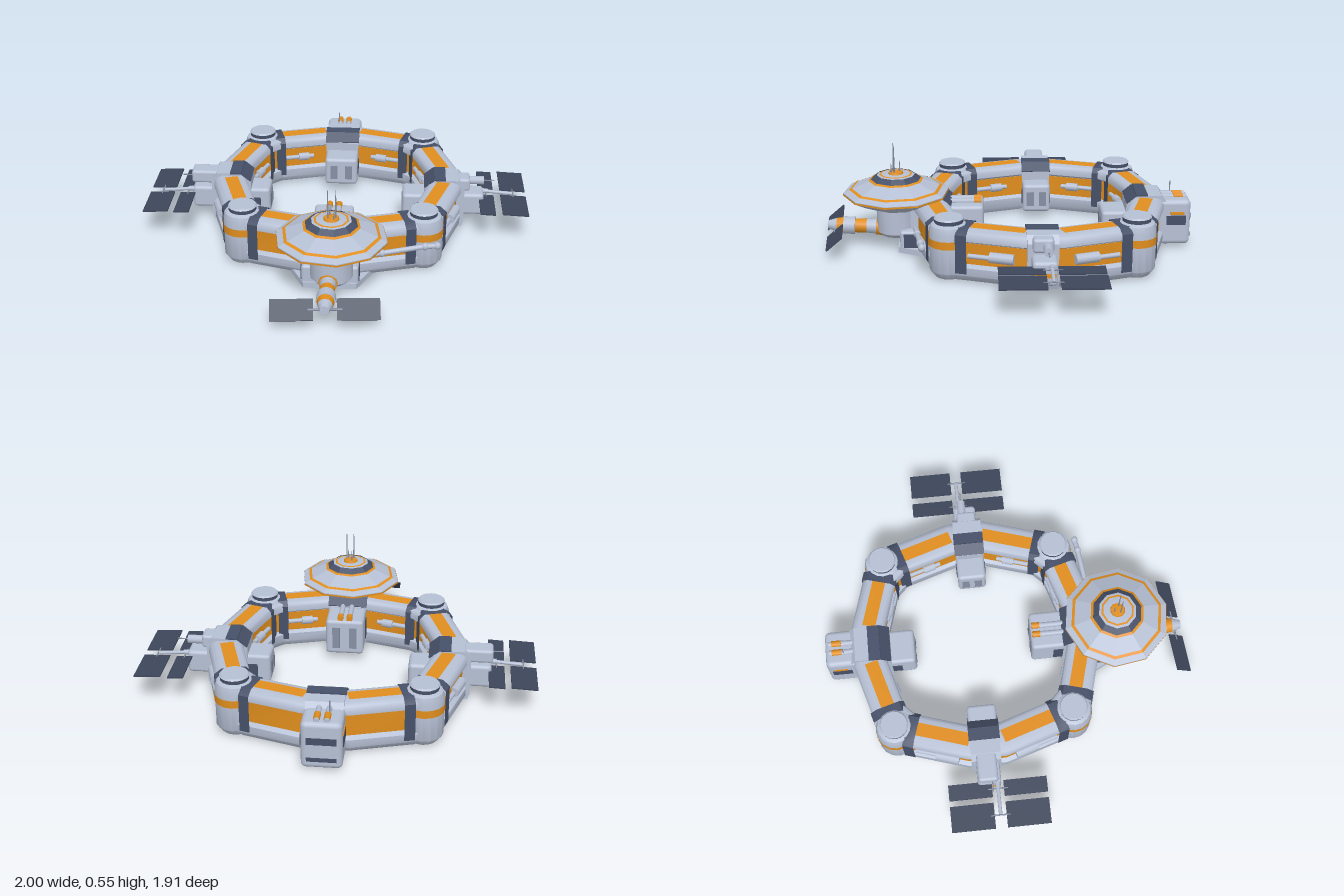
import * as THREE from 'three';
import { toCreasedNormals } from 'three/addons/utils/BufferGeometryUtils.js';
import { RoundedBoxGeometry } from 'three/addons/geometries/RoundedBoxGeometry.js';

const paint = (name, color, side = THREE.FrontSide) => {
  const m = new THREE.MeshStandardMaterial({ color, side });
  m.name = name;
  return m;
};

export function createModel() {
  const hull = paint('hull grey', 0xb6c0d4);
  const orange = paint('orange panel', 0xe08e1e, THREE.DoubleSide);
  const navy = paint('navy panel', 0x465068, THREE.DoubleSide);
  const solar = paint('solar cell', 0x3d465a);
  const metal = paint('dark metal', 0x868fa3);
  const station = new THREE.Group();
  station.name = 'spaceStation';

  // Helpers
  const add = (parent, name, geo, mat, x = 0, y = 0, z = 0) => {
    const m = new THREE.Mesh(geo, mat);
    m.name = name;
    m.position.set(x, y, z);
    parent.add(m);
    return m;
  };
  // Box given by its limits; r rounds the edges
  const block = (parent, name, mat, [x0, x1], [y0, y1], [z0, z1], r = 0) => {
    const s = [x1 - x0, y1 - y0, z1 - z0];
    const geo = r ? new RoundedBoxGeometry(...s, 2, r) : new THREE.BoxGeometry(...s);
    return add(parent, name, geo, mat, (x0 + x1) / 2, (y0 + y1) / 2, (z0 + z1) / 2);
  };
  const rod = (parent, name, mat, a, b, r, r2 = r, sides = 10) => {
    const p = new THREE.Vector3(...a), q = new THREE.Vector3(...b), d = q.clone().sub(p);
    const m = add(parent, name, new THREE.CylinderGeometry(r2, r, d.length(), sides), mat);
    m.position.copy(p).add(q).multiplyScalar(0.5);
    m.quaternion.setFromUnitVectors(new THREE.Vector3(0, 1, 0), d.normalize());
    return m;
  };
  const lathe = (parent, name, mat, pts, sides, crease = 0.7) => add(parent, name, toCreasedNormals(
    new THREE.LatheGeometry(pts.map(p => new THREE.Vector2(...p)), sides).toNonIndexed(), crease), mat);

  // Sweep a (outward, height) section along a mitred path on the ground plane
  const sweep = (parent, name, mat, section, path, closedPath, closedSection) => {
    const n = path.length, m = section.length, pos = [];
    const normal = (a, b) => new THREE.Vector2(b[1] - a[1], a[0] - b[0]).normalize();
    const rows = path.map((p, i) => {
      const prev = closedPath || i > 0 ? path[(i + n - 1) % n] : null;
      const next = closedPath || i < n - 1 ? path[(i + 1) % n] : null;
      const n0 = normal(prev || p, prev ? p : next), n1 = normal(next ? p : prev, next || p);
      const out = n0.clone().add(n1);
      out.multiplyScalar(2 / out.lengthSq());
      return section.map(([r, y]) => [p[0] + out.x * r, y, p[1] + out.y * r]);
    });
    for (let i = 0; i < (closedPath ? n : n - 1); i++)
      for (let j = 0; j < (closedSection ? m : m - 1); j++) {
        const k = (i + 1) % n, l = (j + 1) % m;
        const a = rows[i][j], b = rows[i][l], c = rows[k][l], d = rows[k][j];
        pos.push(...a, ...c, ...b, ...a, ...d, ...c);
      }
    const geo = new THREE.BufferGeometry();
    geo.setAttribute('position', new THREE.Float32BufferAttribute(pos, 3));
    return add(parent, name, toCreasedNormals(geo, 0.75), mat);
  };

  // Ring path: a quarter mirrored to all four sides
  const cz = -0.165;
  const quarter = [[0.1, -0.55], [0.38, -0.47], [0.465, -0.385], [0.56, -0.085]];
  const half = [...quarter, ...quarter.map(([x, z]) => [x, -z]).reverse()];
  const path = [...half, ...half.map(([x, z]) => [-x, z]).reverse()].map(([x, z]) => [x, z + cz]);
  const section = [[-0.055, 0.275], [0.055, 0.275], [0.078, 0.265], [0.09, 0.245], [0.09, 0.225], [0.066, 0.212],
    [0.066, 0.105], [0.09, 0.09], [0.09, 0.05], [0.06, 0.015], [-0.06, 0.015], [-0.08, 0.045],
    [-0.08, 0.09], [-0.06, 0.105], [-0.06, 0.212], [-0.08, 0.225], [-0.08, 0.25], [-0.073, 0.266]];
  const ring = new THREE.Group();
  ring.name = 'ring';
  station.add(ring);
  sweep(ring, 'ringHull', hull, section, path, true, true);
  sweep(ring, 'outerWall', orange, [[0.069, 0.212], [0.069, 0.105]], path, true);
  sweep(ring, 'innerWall', orange, [[-0.063, 0.105], [-0.063, 0.212]], path, true);

  // Arm details: stripes, navy straps and pipes on each straight
  const wrap = [[-0.085, 0.06], [-0.085, 0.255], [-0.06, 0.281], [0.06, 0.281], [0.095, 0.255], [0.095, 0.06]];
  for (let i = 0; i < 16; i += 2) {
    const a = path[i], b = path[i + 1];
    const at = t => [a[0] + (b[0] - a[0]) * t, a[1] + (b[1] - a[1]) * t];
    const cornerAtEnd = i % 4 === 0;
    const seg = (t0, t1) => cornerAtEnd ? [at(t0), at(t1)] : [at(1 - t1), at(1 - t0)];
    sweep(ring, 'topStripe', orange, [[-0.034, 0.279], [0.034, 0.279]], seg(0, 0.93), false);
    sweep(ring, 'underStripe', orange, [[0.03, 0.011], [-0.02, 0.011]], seg(0.25, 0.75), false);
    sweep(ring, 'strap', navy, wrap, seg(0.86, 1.04), false);
    const d = new THREE.Vector2(b[0] - a[0], b[1] - a[1]).normalize();
    const pipe = (name, r, y, t0, t1, rad) => {
      const [p, q] = seg(t0, t1).map(([x, z]) => [x + d.y * r, y, z - d.x * r]);
      rod(ring, name, hull, p, q, rad);
    };
    const isSideArm = Math.abs(a[0] + b[0]) > 0.85;
    if (isSideArm) {
      pipe('outerPipe', 0.078, 0.15, 0.2, 0.85, 0.012);
      pipe('outerTank', 0.08, 0.155, 0.12, 0.5, 0.026);
    }
    pipe('innerPipe', -0.07, 0.16, 0.3, 0.85, 0.012);
    pipe('innerTank', -0.07, 0.16, 0.4, 0.6, 0.022);
  }

  // Corner towers
  for (const sx of [1, -1]) for (const sz of [1, -1]) {
    const t = new THREE.Group();
    t.name = 'cornerTower';
    t.position.set(sx * 0.452, 0, cz + sz * 0.455);
    station.add(t);
    lathe(t, 'towerBody', hull, [[0, 0.015], [0.07, 0.015], [0.097, 0.05], [0.097, 0.25],
      [0.088, 0.278], [0.07, 0.288], [0, 0.288]], 16);
    add(t, 'towerBand', new THREE.CylinderGeometry(0.1, 0.1, 0.04, 16, 1, true), orange, 0, 0.197, 0);
    add(t, 'towerCollar', new THREE.CylinderGeometry(0.07, 0.07, 0.024, 16), navy, 0, 0.297, 0);
    add(t, 'towerCap', new THREE.CylinderGeometry(0.066, 0.073, 0.008, 16), hull, 0, 0.312, 0);
  }

  // Hubs on the four sides; local +z points away from the ring
  const hub = (name, x, z, turn, w, podEnd, podTop) => {
    const g = new THREE.Group();
    g.name = name;
    g.position.set(x, 0, z);
    g.rotation.y = turn;
    station.add(g);
    const s = new THREE.Shape([[-0.1, 0.02], [0.1, 0.02], [0.11, 0.05], [0.11, 0.25], [0.08, 0.287],
      [-0.05, 0.287], [-0.1, 0.245]].map(p => new THREE.Vector2(...p)));
    const geo = new THREE.ExtrudeGeometry(s, { depth: w * 2, bevelEnabled: false });
    geo.rotateY(-Math.PI / 2).translate(w, 0, 0);
    add(g, 'saddle', geo, hull);
    block(g, 'saddlePanel', navy, [-w - 0.004, w + 0.004], [0.286, 0.293], [-0.05, 0.01]);
    const slope = block(g, 'slopePanel', navy, [-w - 0.004, w + 0.004], [0.265, 0.272], [-0.107, -0.043]);
    slope.rotation.x = -0.7;
    block(g, 'innerPod', hull, [-w, w], [0.045, podTop], [podEnd, -0.06], 0.018);
    for (const sx of [1, -1]) {
      block(g, 'podSidePanel', navy, [sx * w - 0.004, sx * w + 0.004], [0.08, podTop - 0.05], [-0.15, -0.1]);
      block(g, 'podDoor', metal, [sx * w * 0.45 - 0.02, sx * w * 0.45 + 0.02], [0.08, podTop - 0.04],
        [podEnd - 0.003, podEnd + 0.004]);
    }
    return g;
  };
  const back = hub('backHub', 0, -0.715, Math.PI, 0.09, -0.225, 0.2);
  const front = hub('frontHub', 0, 0.385, 0, 0.1, -0.265, 0.24);
  const left = hub('leftHub', 0.56, -0.155, Math.PI / 2, 0.075, -0.215, 0.2);
  const right = hub('rightHub', -0.56, -0.175, -Math.PI / 2, 0.075, -0.2, 0.2);

  // Twin thrusters on the front pod and back module
  for (const x of [-0.024, 0.024]) {
    rod(front, 'podRail', hull, [x, 0.245, -0.24], [x, 0.245, -0.06], 0.014);
    rod(front, 'podRailTip', orange, [x, 0.247, -0.255], [x, 0.247, -0.215], 0.016);
    rod(back, 'thruster', hull, [x, 0.262, 0.08], [x, 0.262, 0.215], 0.014);
    rod(back, 'thrusterSleeve', orange, [x, 0.264, 0.15], [x, 0.264, 0.2], 0.016);
  }

  // Back docking module
  block(back, 'backModule', hull, [-0.097, 0.097], [0.02, 0.262], [0.06, 0.235], 0.025);
  block(back, 'upperWindow', navy, [-0.07, 0.07], [0.15, 0.185], [0.231, 0.238]);
  block(back, 'lowerWindow', navy, [-0.07, 0.07], [0.06, 0.08], [0.231, 0.238]);
  for (const s of [1, -1]) {
    block(back, 'moduleSideWindow', navy, [s * 0.097 - 0.004, s * 0.097 + 0.004], [0.13, 0.18], [0.11, 0.21]);
    block(back, 'moduleSideBadge', orange, [s * 0.097 - 0.004, s * 0.097 + 0.004], [0.185, 0.2], [0.13, 0.2]);
  }
  rod(back, 'backAntenna', metal, [0.03, 0.25, 0.14], [0.03, 0.33, 0.14], 0.003);

  // Side modules with solar wings
  const wing = (g, s, offset, far, near) => {
    block(g, 'lowerModule', hull, [-0.055, 0.065], [0.08, 0.2], [0.06, 0.215], 0.018);
    block(g, 'upperModule', hull, [-0.05, 0.05], [0.215, 0.285], [0.03, s < 0 ? 0.22 : 0.14], 0.015);
    rod(g, 'barrel', hull, [0.02, 0.25, 0.1], [0.02, 0.25, 0.215], 0.022);
    rod(g, 'moduleAntenna', metal, [0.02, 0.25, 0.2], [0.02, 0.25, 0.27], 0.003);
    block(g, 'moduleStripe', orange, [-0.045, 0.055], [0.125, 0.145], [0.212, 0.218]);
    const b = new THREE.Group();
    b.name = 'solarWing';
    b.position.set(0, 0.168, s < 0 ? -0.13 : -0.19);
    station.add(b);
    rod(b, 'boom', hull, [s * 0.68, 0.015, 0], [s * 0.8, 0.012, 0], 0.018, 0.012);
    rod(b, 'boomTip', hull, [s * 0.78, 0.012, 0], [s * 0.93, 0, 0], 0.009);
    for (const [x0, x1] of [far, near]) for (const sz of [1, -1]) {
      const p = add(b, 'solarPanel', new THREE.BoxGeometry(x1 - x0, 0.007, 0.22), solar,
        s * (x0 + x1) / 2, 0, sz * 0.14 + offset);
      p.rotation.z = s * -0.05;
      rod(b, 'panelStrut', metal, [s * (x0 + x1) / 2, 0.004, 0], [s * (x0 + x1) / 2, 0, sz * 0.05], 0.004);
    }
  };
  wing(left, 1, 0, [0.865, 1], [0.75, 0.83]);
  wing(right, -1, 0, [0.87, 1], [0.76, 0.84]);

  // Front base that carries the dish
  const plan = new THREE.Shape([[-0.24, -0.34], [0.24, -0.34], [0.13, -0.56], [-0.13, -0.56]]
    .map(p => new THREE.Vector2(...p)));
  const keel = new THREE.ExtrudeGeometry(plan, { depth: 0.03, bevelEnabled: false }).rotateX(-Math.PI / 2);
  add(station, 'keelPlate', keel, hull, 0, 0.004, 0);
  block(station, 'frontBase', hull, [-0.14, 0.14], [0.01, 0.12], [0.36, 0.55], 0.015);
  for (const s of [1, -1])
    block(station, 'basePanel', navy, [s * 0.14 - 0.004, s * 0.14 + 0.004], [0.025, 0.105], [0.42, 0.53]);

  // Dish
  const dish = new THREE.Group();
  dish.name = 'dish';
  dish.position.set(0.01, 0, 0.57);
  dish.rotation.y = 0.15;
  station.add(dish);
  lathe(dish, 'neck', hull, [[0, 0.07], [0.085, 0.07], [0.105, 0.09], [0.105, 0.23]], 14);
  lathe(dish, 'dishBody', hull, [[0.09, 0.215], [0.13, 0.222], [0.2, 0.252], [0.272, 0.29], [0.272, 0.302],
    [0.13, 0.363], [0.1, 0.386], [0.085, 0.39], [0.045, 0.394], [0, 0.396]], 10, 0.2);
  const bands = [['rimBand', orange, [0.274, 0.29], [0.274, 0.299]], ['dishStripe', orange, [0.242, 0.318], [0.227, 0.3245]],
    ['shoulderStripe', orange, [0.142, 0.361], [0.129, 0.3675]], ['windowBand', navy, [0.129, 0.3675], [0.099, 0.39]],
    ['crownStripe', orange, [0.086, 0.3925], [0.076, 0.394]]];
  for (const [name, mat, a, b] of bands) lathe(dish, name, mat, [a, b], 10, 0.2);
  lathe(dish, 'crown', orange, [[0.04, 0.393], [0.036, 0.404], [0, 0.408]], 10);
  for (const [x, z, h] of [[-0.018, 0.01, 0.55], [0.02, 0.01, 0.55], [-0.005, -0.02, 0.46], [0.01, 0.025, 0.45]])
    rod(dish, 'mast', metal, [x, 0.4, z], [x, h, z], 0.0045, 0.002, 6);

  // Docking tube under the dish: [z start, z end, radius start, radius end, colour]
  for (const [a, b, r0, r1, mat] of [[0.54, 0.68, 0.048, 0.045, orange], [0.68, 0.73, 0.04, 0.036, hull],
    [0.73, 0.79, 0.037, 0.037, orange], [0.79, 0.85, 0.046, 0.046, hull], [0.85, 0.885, 0.042, 0.036, orange],
    [0.885, 0.93, 0.036, 0.022, hull]])
    rod(station, 'dockingTube', mat, [0, 0.095 + (a - 0.54) * 0.05, a], [0, 0.095 + (b - 0.54) * 0.05, b], r0, r1, 12);
  const frontWing = new THREE.Group();
  frontWing.name = 'frontSolarWing';
  frontWing.position.set(0, 0.097, 0.895);
  frontWing.rotation.y = 0.08;
  station.add(frontWing);
  rod(frontWing, 'wingAxle', metal, [-0.08, 0, 0], [0.08, 0, 0], 0.006);
  for (const s of [1, -1])
    add(frontWing, 'frontSolarPanel', new THREE.BoxGeometry(0.2, 0.007, 0.105), solar, s * 0.155, 0, 0).rotation.x = 0.7;

  // Manipulator arm
  const joints = [[0.12, 0.13, 0.47], [0.25, 0.15, 0.455], [0.46, 0.18, 0.43], [0.52, 0.18, 0.42]];
  for (let i = 0; i < 3; i++) {
    rod(station, 'armLink', hull, joints[i], joints[i + 1], 0.013);
    add(station, 'armJoint', new THREE.SphereGeometry(0.019, 10, 8), hull, ...joints[i + 1]);
  }
  return station;
}
